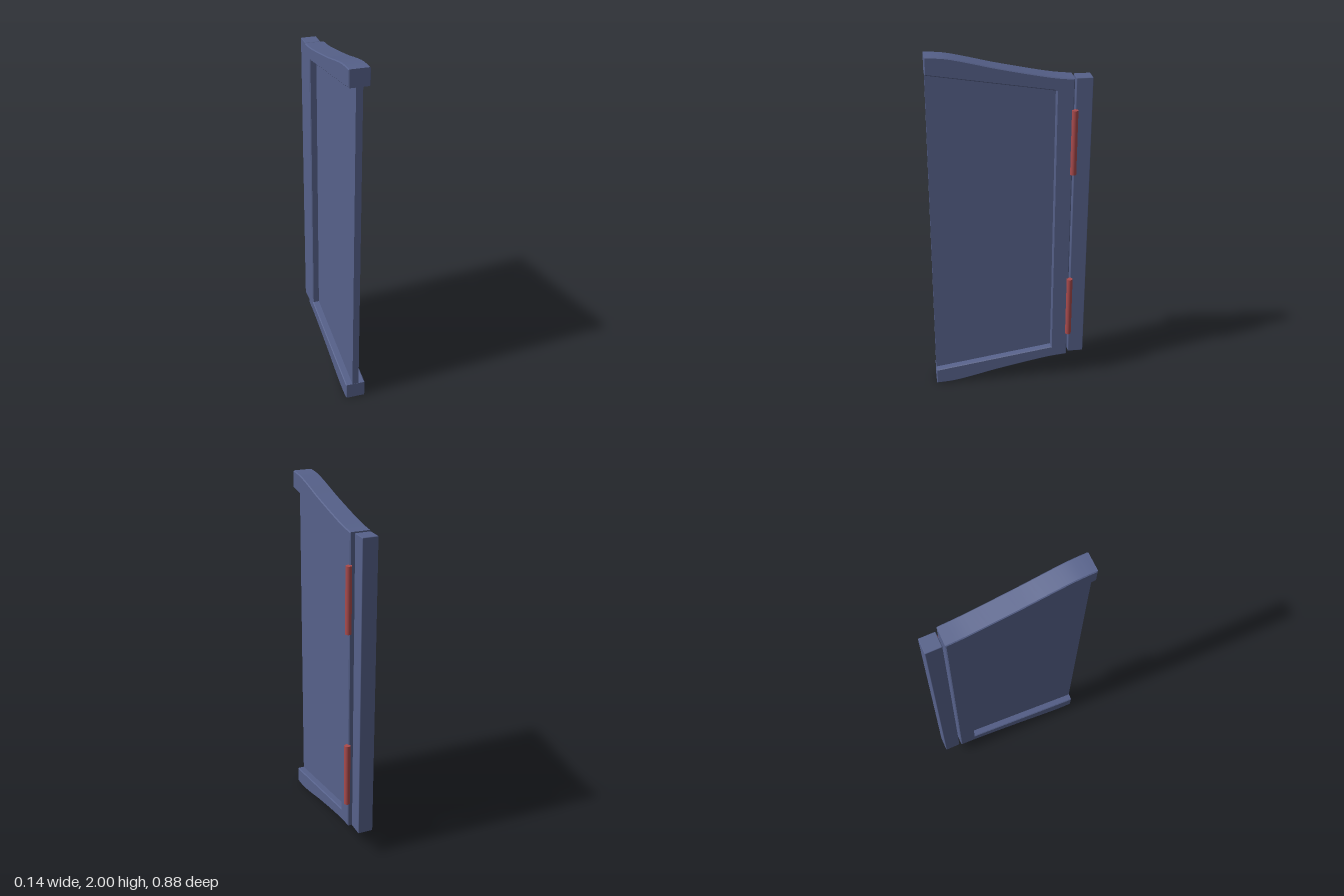
import * as THREE from 'three';
import { RoundedBoxGeometry } from 'three/addons/geometries/RoundedBoxGeometry.js';
import { toCreasedNormals } from 'three/addons/utils/BufferGeometryUtils.js';

const BLUE = new THREE.MeshStandardMaterial({ color: 0x56618a });
const RED = new THREE.MeshStandardMaterial({ color: 0xa84a4c });
const MID_X = -0.014; // centre plane of the door leaf

// Extrude a side profile drawn as (z, y) across x, centred on the leaf.
function extrudeSide(shape, thickness, bevel) {
  const depth = thickness - 2 * bevel;
  const geometry = new THREE.ExtrudeGeometry(shape, {
    depth, curveSegments: 4, bevelEnabled: bevel > 0,
    bevelSize: bevel, bevelThickness: bevel, bevelOffset: -bevel, bevelSegments: 1,
  });
  geometry.translate(0, 0, -depth / 2);
  geometry.rotateY(-Math.PI / 2);
  geometry.translate(MID_X, 0, 0);
  return toCreasedNormals(geometry, 0.4);
}

function addMesh(group, name, geometry, material) {
  const mesh = new THREE.Mesh(geometry, material);
  mesh.name = name;
  group.add(mesh);
  return mesh;
}

export function createModel() {
  const group = new THREE.Group();
  group.name = 'hingedDoor';

  // C-shaped frame: curved rails joined by the hinge-side stile, open in front
  const curve = [[0.44, 2], [0.39, 1.998], [0.32, 1.99], [0.22, 1.968], [0.1, 1.938],
    [0, 1.916], [-0.12, 1.891], [-0.24, 1.869], [-0.34, 1.858]]
    .map(([z, y]) => new THREE.Vector2(z, y));
  const mirrored = curve.map((p) => new THREE.Vector2(p.x, 2.003 - p.y)).reverse();
  const frame = new THREE.Shape();
  frame.moveTo(curve[0].x, curve[0].y);
  frame.splineThru(curve.slice(1));
  frame.lineTo(mirrored[0].x, mirrored[0].y);
  frame.splineThru(mirrored.slice(1));
  frame.lineTo(0.44, 0.095);
  frame.lineTo(-0.246, 0.203);
  frame.lineTo(-0.246, 1.796);
  frame.lineTo(0.44, 1.905);
  frame.closePath();
  addMesh(group, 'frame', extrudeSide(frame, 0.112, 0.005), BLUE);

  // Recessed panel, tucked slightly into the frame
  const panel = new THREE.Shape([[0.439, 0.085], [0.439, 1.915], [-0.256, 1.806], [-0.256, 0.193]]
    .map(([z, y]) => new THREE.Vector2(z, y)));
  addMesh(group, 'panel', extrudeSide(panel, 0.036, 0), BLUE);

  // Fixed post behind the leaf
  addMesh(group, 'post', new RoundedBoxGeometry(0.087, 1.705, 0.09, 1, 0.004), BLUE)
    .position.set(-0.021, 1.003, -0.397);

  // Hinge barrels
  [['lowerHinge', 0.483], ['upperHinge', 1.505]].forEach(([name, y]) => {
    addMesh(group, name, new THREE.CylinderGeometry(0.017, 0.017, 0.367, 24), RED)
      .position.set(0.05, y, -0.344);
  });

  return group;
}
